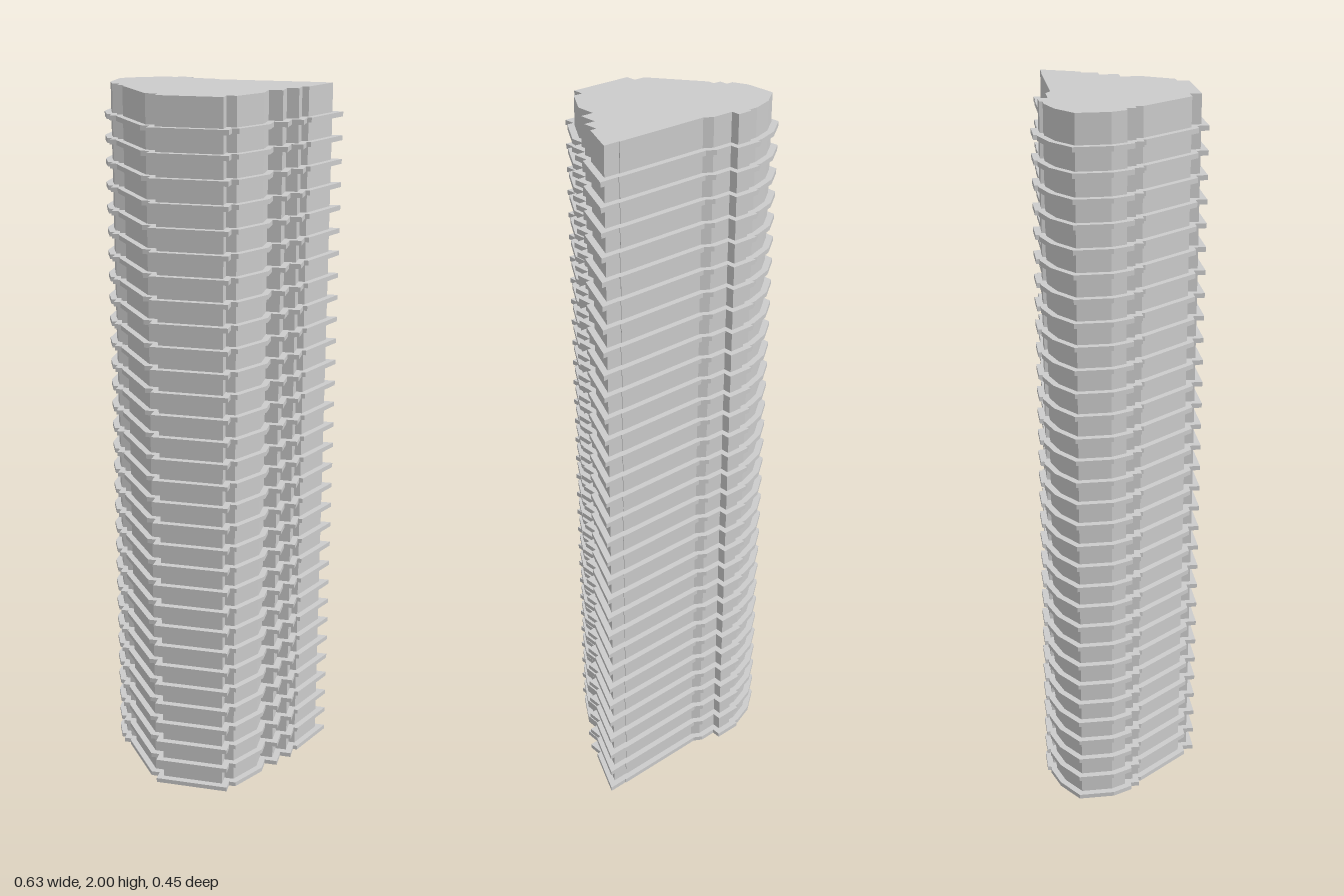
import * as THREE from 'three';

const HEIGHT = 2, RINGS = 31, FIRST = 0.011, STEP = 0.0633, THICK = 0.013, OVERHANG = 0.0175;

// Tower plan as [x, z], clockwise seen from above
const PLAN = [
  [-0.297, -0.138], [-0.24, -0.18], [-0.18, -0.2], [-0.152, -0.2], [-0.152, -0.209],
  [-0.109, -0.209], [-0.109, -0.184], [-0.049, -0.184], [-0.026, -0.17], [0.239, -0.17],
  [0.239, -0.168], [0.285, -0.168], [0.239, -0.063], [0.221, -0.063], [0.221, -0.018],
  [0.189, -0.018], [0.189, 0.034], [0.152, 0.034], [0.152, 0.09], [0.1, 0.173],
  [0.073, 0.173], [0.073, 0.205], [-0.104, 0.205], [-0.104, 0.174], [-0.137, 0.174],
  [-0.238, 0.036], [-0.238, 0.016], [-0.26, 0.016], [-0.26, -0.009], [-0.28, -0.009],
  [-0.297, -0.05],
].map(([x, z]) => new THREE.Vector2(x, z));

// Outward mitred offset of a closed outline
function offset(points, d) {
  const n = points.length;
  const normal = (a, b) => new THREE.Vector2(b.y - a.y, a.x - b.x).normalize();
  return points.map((p, i) => {
    const n1 = normal(points[(i + n - 1) % n], p);
    const n2 = normal(p, points[(i + 1) % n]);
    return n1.clone().add(n2).multiplyScalar(d / (1 + n1.dot(n2))).add(p);
  });
}

// Shapes are drawn in (x, -z) and then laid flat
const flip = (points) => points.map((p) => new THREE.Vector2(p.x, -p.y));

// Vertical walls with sharp corners, open at the bottom
function wallGeometry(points, y0, y1) {
  const pos = [];
  points.forEach((a, i) => {
    const b = points[(i + 1) % points.length];
    pos.push(a.x, y0, a.y, a.x, y1, a.y, b.x, y1, b.y);
    pos.push(a.x, y0, a.y, b.x, y1, b.y, b.x, y0, b.y);
  });
  const g = new THREE.BufferGeometry();
  g.setAttribute('position', new THREE.Float32BufferAttribute(pos, 3));
  g.computeVertexNormals();
  return g;
}

export function createModel() {
  const group = new THREE.Group();
  group.name = 'tower';
  const material = new THREE.MeshStandardMaterial({ color: 0xcccccc, side: THREE.DoubleSide });
  const add = (name, geometry, y = 0) => {
    const mesh = new THREE.Mesh(geometry, material);
    mesh.name = name;
    mesh.position.y = y;
    group.add(mesh);
  };

  // Hollow shell and flat roof
  add('walls', wallGeometry(PLAN, 0, HEIGHT));
  add('roof', new THREE.ShapeGeometry(new THREE.Shape(flip(PLAN))).rotateX(-Math.PI / 2), HEIGHT);

  // Thin floor ledges running around the shell
  const ledge = new THREE.Shape(flip(offset(PLAN, OVERHANG)));
  ledge.holes.push(new THREE.Path(flip(PLAN)));
  const ledgeGeometry = new THREE.ExtrudeGeometry(ledge, { depth: THICK, bevelEnabled: false })
    .rotateX(-Math.PI / 2);
  for (let i = 0; i < RINGS; i++) add(`floorLedge${i + 1}`, ledgeGeometry, FIRST + i * STEP);

  return group;
}
